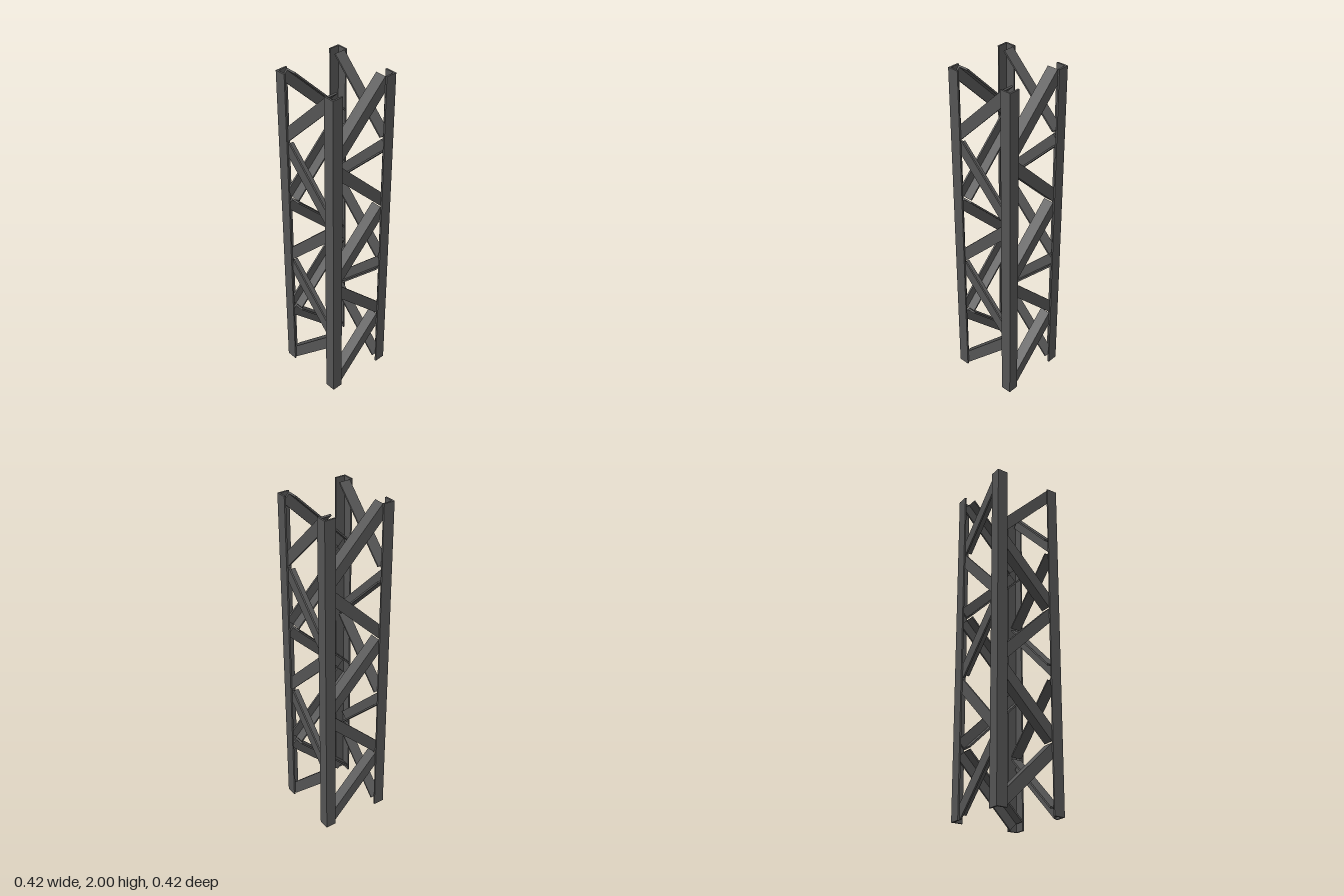
import * as THREE from 'three';

const HEIGHT = 2;
const HALF = 0.212;      // outer half width of the tower
const FLANGE = 0.065;    // width of an angle-bar flange
const THICK = 0.01;      // thickness of an angle-bar flange
const BAYS = 5;
const BRACE_LENGTH = 0.49;
const BRACE_FACE = 0.198; // outer plane of the braces, just inside the legs

// Angle bar: corner at the origin, flanges along +x and +y, length along +z
function angleBar(length) {
  const s = new THREE.Shape();
  s.moveTo(0, 0);
  s.lineTo(FLANGE, 0);
  s.lineTo(FLANGE, THICK);
  s.lineTo(THICK, THICK);
  s.lineTo(THICK, FLANGE);
  s.lineTo(0, FLANGE);
  s.closePath();
  return new THREE.ExtrudeGeometry(s, { depth: length, bevelEnabled: false });
}

export function createModel() {
  const tower = new THREE.Group();
  tower.name = 'latticeTower';
  const steel = new THREE.MeshStandardMaterial({ color: 0x555555 });

  // Corner leg: flanges point inward along -z and -x, length runs up
  const legGeo = angleBar(HEIGHT).applyMatrix4(
    new THREE.Matrix4().makeBasis(
      new THREE.Vector3(0, 0, -1),
      new THREE.Vector3(-1, 0, 0),
      new THREE.Vector3(0, 1, 0)
    )
  );

  // Diagonal brace: rises to the right, with its inward flange on the upper edge
  const along = new THREE.Vector3(1, 1, 0).normalize();
  const across = new THREE.Vector3(1, -1, 0).normalize();
  const braceGeo = angleBar(BRACE_LENGTH)
    .translate(-FLANGE / 2, 0, -BRACE_LENGTH / 2)
    .applyMatrix4(new THREE.Matrix4().makeBasis(across, new THREE.Vector3(0, 0, -1), along));

  const sides = ['front', 'left', 'back', 'right'];
  sides.forEach((name, k) => {
    const side = new THREE.Group();
    side.name = name + 'Side';
    side.rotation.y = (k * Math.PI) / 2;

    const leg = new THREE.Mesh(legGeo, steel);
    leg.name = 'cornerLeg';
    leg.position.set(HALF, 0, HALF);
    side.add(leg);

    // Zigzag of braces, every second one turned a quarter
    for (let i = 0; i < BAYS; i++) {
      const brace = new THREE.Mesh(braceGeo, steel);
      brace.name = 'diagonalBrace';
      brace.position.set(0, ((i + 0.5) * HEIGHT) / BAYS, BRACE_FACE);
      if (i % 2) brace.rotation.z = Math.PI / 2;
      side.add(brace);
    }
    tower.add(side);
  });

  return tower;
}
